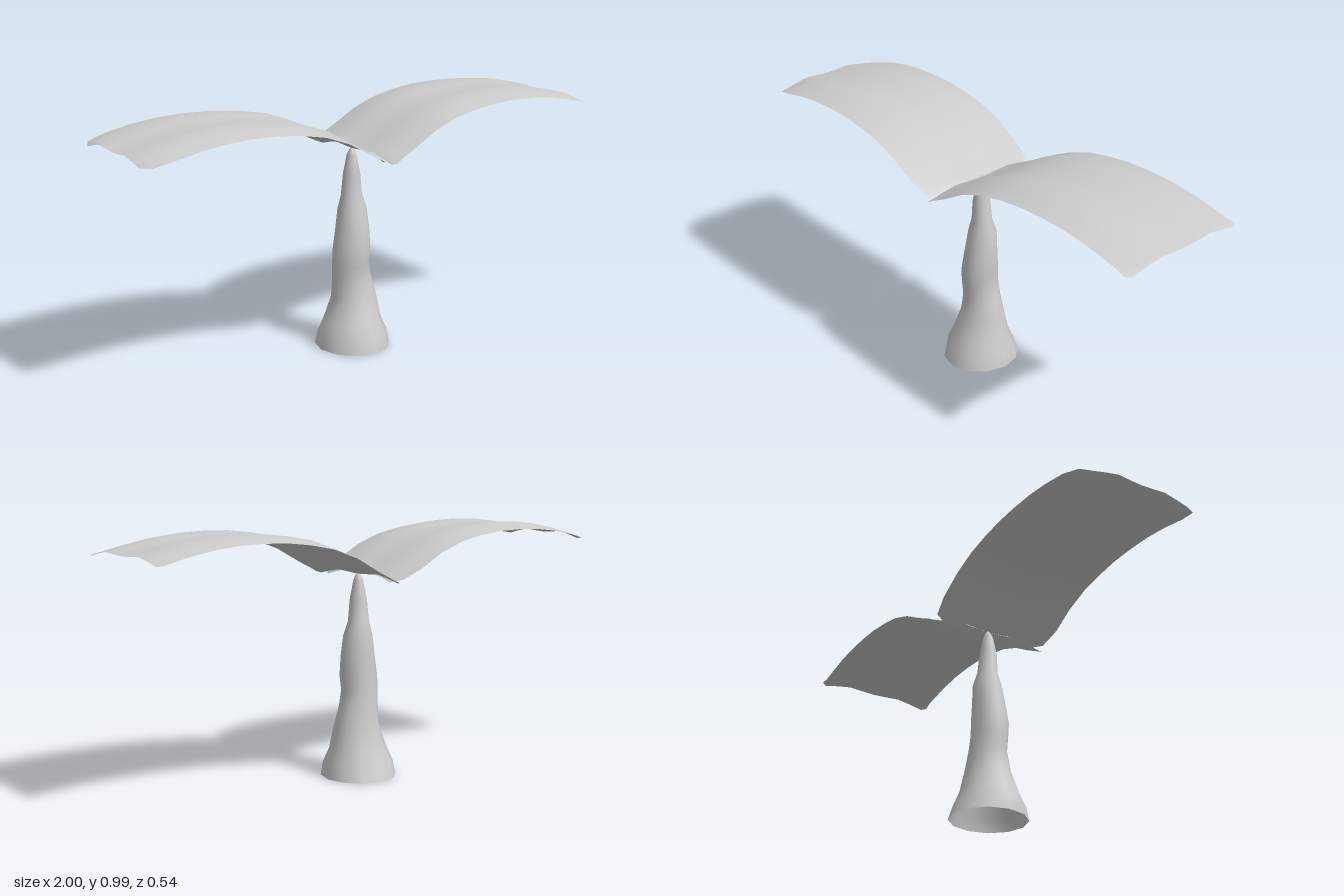
import * as THREE from 'three';

// Smooth surface through equal-length rows of points; closed rows wrap around.
function skin(rows, closed) {
  const n = rows[0].length, index = [];
  for (let i = 0; i < rows.length - 1; i++) {
    for (let j = 0; j < (closed ? n : n - 1); j++) {
      const k = (j + 1) % n;
      const a = i * n + j, b = i * n + k, c = a + n, d = b + n;
      if (closed) index.push(a, c, b, b, c, d);
      else index.push(a, b, c, b, d, c);
    }
  }
  const g = new THREE.BufferGeometry();
  g.setAttribute('position', new THREE.Float32BufferAttribute(rows.flat(2), 3));
  g.setIndex(index);
  g.computeVertexNormals();
  return g;
}

// Arch of a leaf midrib: distance from the stem, height
const arch = [[0, 0.8], [0.1, 0.85], [0.2, 0.906], [0.3, 0.943], [0.4, 0.963], [0.5, 0.975],
  [0.6, 0.978], [0.7, 0.975], [0.8, 0.964], [0.9, 0.945], [1, 0.921]];
// Leaf cross-section: fraction of half width, height offset
const half = [[0, 0], [0.25, 0.003], [0.5, 0.007], [0.75, -0.003], [1, -0.016]];
const section = [...half.slice(1).reverse().map(([t, h]) => [-t, h]), ...half];

function lerp(table, x) {
  const i = Math.max(1, table.findIndex(p => p[0] >= x));
  const [a, b] = [table[i - 1], table[i]];
  return a[1] + (b[1] - a[1]) * (x - a[0]) / (b[0] - a[0]);
}

// side is +1 or -1; widths lists distance and half width for the end corners
function leaf(side, widths) {
  const xs = [...new Set([...arch, ...widths].map(p => p[0]))].sort((a, b) => a - b);
  const rows = xs.map(x => section.map(([t, h]) =>
    [side * x, lerp(arch, x) + h, t * lerp(widths, x)]));
  if (side < 0) rows.reverse();
  return skin(rows, false);
}

// Stem outline: height, then reach towards -x, +x, -z and +z
const stemRings = [
  [0, 0.148, 0.146, 0.153, 0.158], [0.055, 0.141, 0.138, 0.132, 0.147],
  [0.11, 0.117, 0.114, 0.108, 0.12], [0.2, 0.082, 0.1, 0.086, 0.09],
  [0.28, 0.08, 0.078, 0.074, 0.071], [0.34, 0.082, 0.063, 0.069, 0.077],
  [0.4, 0.08, 0.07, 0.065, 0.082], [0.48, 0.067, 0.068, 0.061, 0.07],
  [0.56, 0.055, 0.06, 0.06, 0.055], [0.615, 0.043, 0.041, 0.043, 0.037],
  [0.7, 0.035, 0.032, 0.034, 0.035], [0.775, 0.02, 0.018, 0.02, 0.02],
  [0.795, 0.01, 0.01, 0.01, 0.01], [0.805, 0.002, 0.002, 0.002, 0.002]];

function stem() {
  const sides = 12;
  return skin(stemRings.map(([y, left, right, back, front]) =>
    Array.from({ length: sides }, (_, j) => {
      const a = j / sides * Math.PI * 2, c = Math.cos(a), s = Math.sin(a);
      return [c * (c < 0 ? left : right), y, s * (s < 0 ? back : front)];
    })), true);
}

export function createModel() {
  const group = new THREE.Group();
  const grey = new THREE.MeshStandardMaterial({ color: 0xcccccc, side: THREE.DoubleSide });
  grey.name = 'pale grey';
  const add = (name, geometry) => {
    const mesh = new THREE.Mesh(geometry, grey);
    mesh.name = name;
    group.add(mesh);
  };
  // Hollow stem, open at the foot
  add('stem', stem());
  // Two arched leaves, with slightly different corners
  add('leftLeaf', leaf(1, [[0, 0.25], [0.01, 0.272], [0.04, 0.265], [0.95, 0.265], [0.985, 0.27], [1, 0.25]]));
  add('rightLeaf', leaf(-1, [[0, 0.2], [0.025, 0.25], [0.1, 0.265], [0.9, 0.265], [0.975, 0.25], [1, 0.2]]));
  return group;
}
